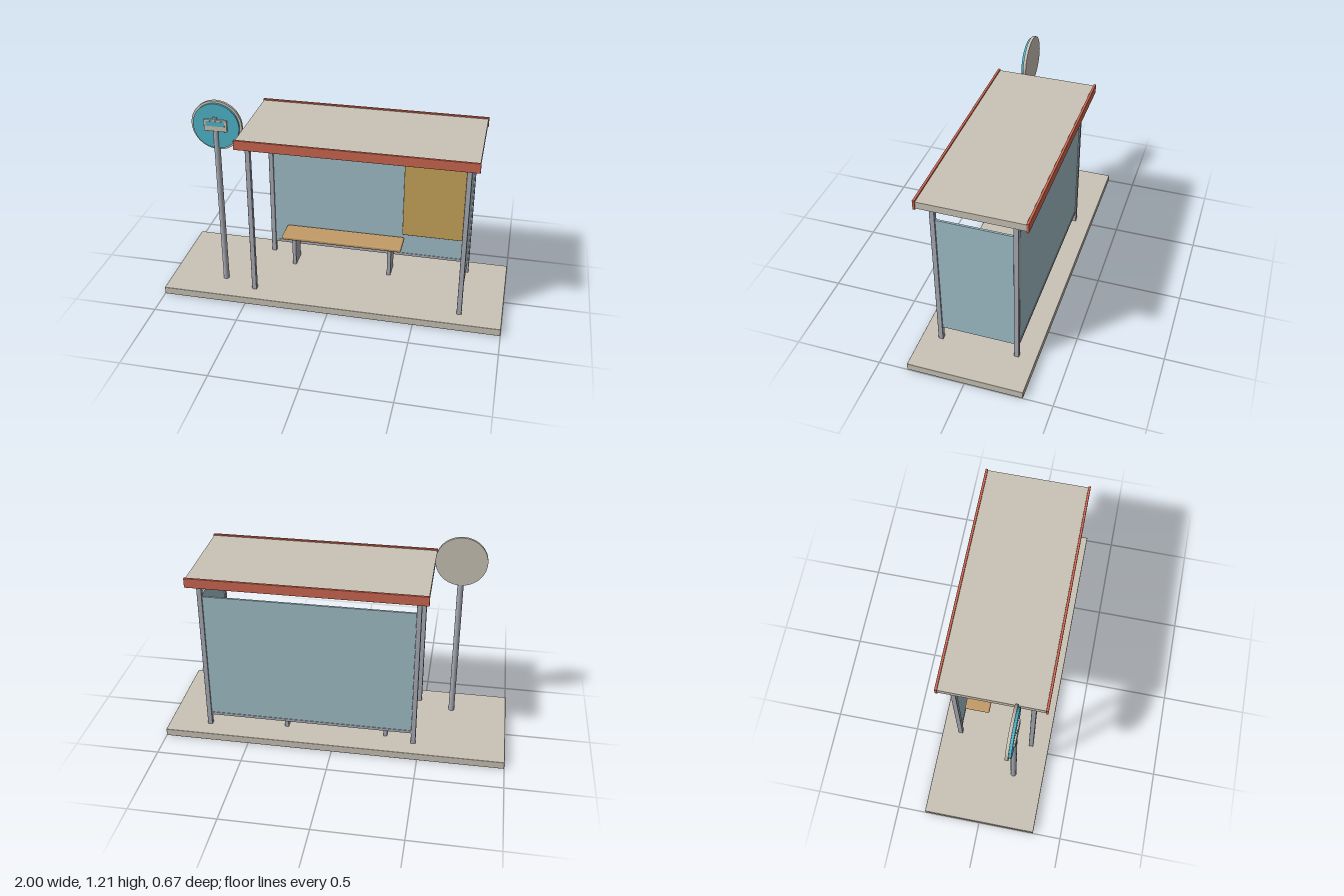
import * as THREE from 'three';
import { RoundedBoxGeometry } from 'three/addons/geometries/RoundedBoxGeometry.js';

const material = (name, color) => {
  const m = new THREE.MeshStandardMaterial({ color });
  m.name = name;
  return m;
};

export function createModel() {
  const concrete = material('warm concrete', 0xcac3b6);
  const metal = material('grey metal', 0xa9acb5);
  const glass = material('pale blue glass', 0xa1bfc9);
  const red = material('brick red', 0xce6750);
  const wood = material('bench wood', 0xc39c68);
  const ochre = material('ochre poster', 0xc8a55a);
  const blue = material('sign blue', 0x4fb4ca);

  const model = new THREE.Group();
  model.name = 'busShelter';

  const add = (name, geometry, mat, x, y, z) => {
    const mesh = new THREE.Mesh(geometry, mat);
    mesh.name = name;
    mesh.position.set(x, y, z);
    model.add(mesh);
    return mesh;
  };
  // Box given by its limits on each axis, with optional rounded edges
  const box = (name, mat, [x0, x1], [y0, y1], [z0, z1], r = 0) => {
    const size = [x1 - x0, y1 - y0, z1 - z0];
    const geometry = r ? new RoundedBoxGeometry(...size, 2, r) : new THREE.BoxGeometry(...size);
    return add(name, geometry, mat, (x0 + x1) / 2, (y0 + y1) / 2, (z0 + z1) / 2);
  };
  // Disc facing the front
  const disc = (name, mat, radius, z0, z1) => {
    const geometry = new THREE.CylinderGeometry(radius, radius, z1 - z0, 48).rotateX(Math.PI / 2);
    return add(name, geometry, mat, -0.667, 1.06, (z0 + z1) / 2);
  };

  // Pavement slab
  box('pavement', concrete, [-1, 1], [0, 0.045], [-0.333, 0.333], 0.004);

  // Four posts
  for (const x of [-0.468, 0.755]) {
    for (const z of [-0.223, 0.223]) {
      box('post', metal, [x - 0.014, x + 0.014], [0.04, 1.006], [z - 0.014, z + 0.014], 0.003);
    }
  }

  // Roof slab with a fascia along front and back
  box('roof', concrete, [-0.52, 0.81], [1.004, 1.045], [-0.292, 0.292]);
  for (const s of [-1, 1]) {
    const z = s * 0.296;
    box('fascia', red, [-0.524, 0.814], [0.997, 1.053], [z - 0.007, z + 0.007], 0.002);
  }

  // Glazing and the rail beneath the rear pane
  box('rearGlass', glass, [-0.456, 0.743], [0.13, 0.908], [-0.229, -0.217]);
  box('rearRail', metal, [-0.456, 0.743], [0.113, 0.13], [-0.232, -0.214]);
  box('sideGlass', glass, [0.749, 0.761], [0.133, 0.908], [-0.21, 0.21]);

  // Poster on the rear pane
  box('poster', ochre, [0.352, 0.718], [0.265, 0.82], [-0.217, -0.206], 0.003);

  // Bench
  box('benchSeat', wood, [-0.374, 0.366], [0.225, 0.249], [-0.209, -0.059], 0.009);
  for (const x of [-0.3, 0.293]) {
    box('benchLeg', metal, [x - 0.011, x + 0.011], [0.04, 0.228], [-0.19, -0.078]);
  }

  // Stop sign pole, round board and pictogram
  add('signPole', new THREE.CylinderGeometry(0.0175, 0.0175, 1.075, 24), metal, -0.67, 0.5775, 0.15);
  disc('signRim', concrete, 0.147, 0.129, 0.146);
  disc('signFace', blue, 0.134, 0.146, 0.16);
  box('signPictogram', concrete, [-0.735, -0.6], [1.032, 1.102], [0.158, 0.17], 0.003);
  box('signWindow', blue, [-0.722, -0.614], [1.064, 1.093], [0.167, 0.172]);

  return model;
}
